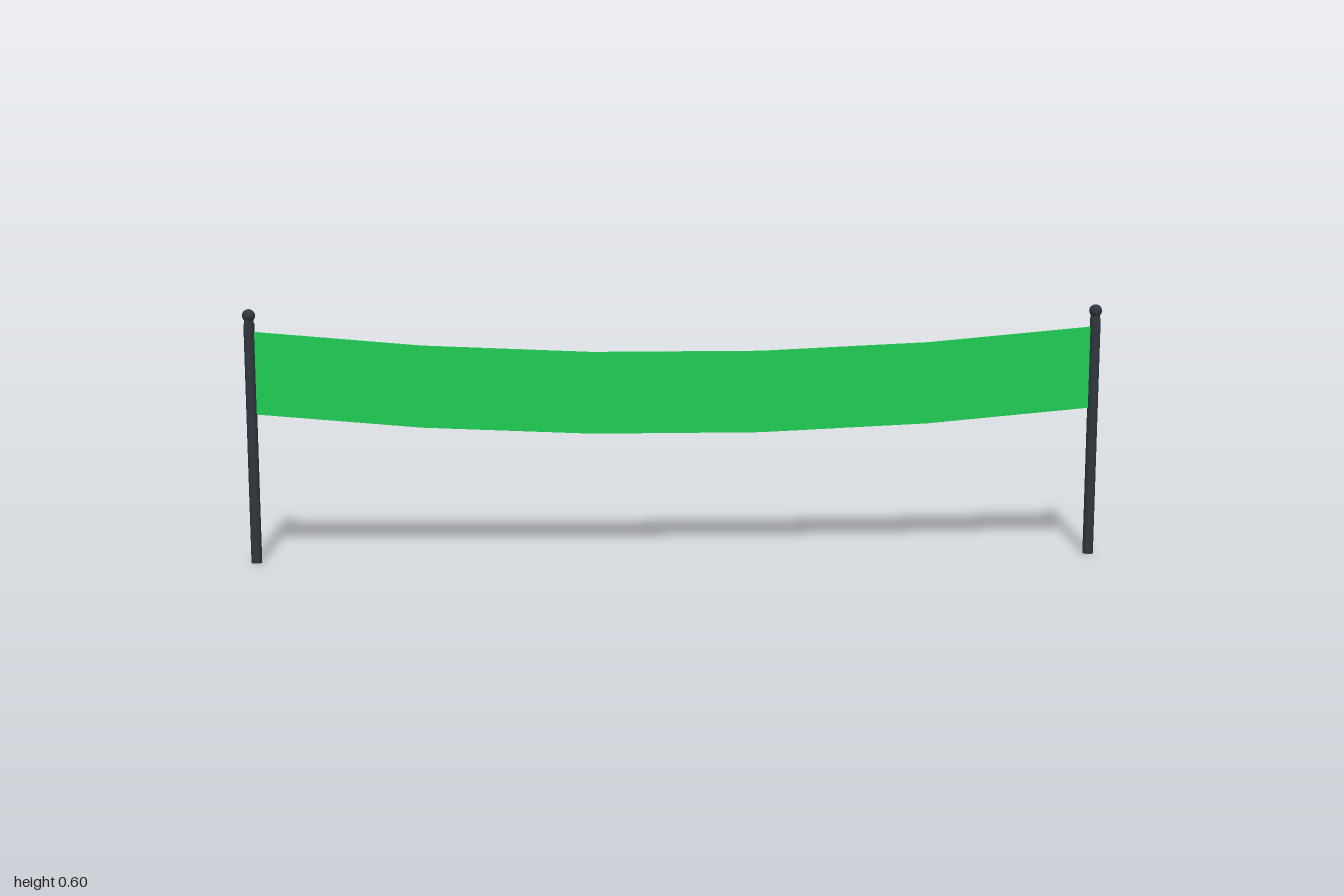
import * as THREE from 'three';

const POST_X = 0.985;

// Post: straight shaft, short narrower neck, ball on top
function makePost(name, x, material) {
  const post = new THREE.Group();
  post.name = name;
  const add = (part, geometry, y) => {
    const mesh = new THREE.Mesh(geometry, material);
    mesh.name = part;
    mesh.position.y = y;
    post.add(mesh);
  };
  add('shaft', new THREE.CylinderGeometry(0.0125, 0.0125, 0.564, 16), 0.282);
  add('neck', new THREE.CylinderGeometry(0.011, 0.011, 0.014, 16), 0.57);
  add('ball', new THREE.SphereGeometry(0.015, 16, 12), 0.582);
  post.position.x = x;
  return post;
}

// Banner: thin strip in five straight segments, sagging along a parabola
function makeBanner(material) {
  const geometry = new THREE.BoxGeometry(2 * POST_X, 0.192, 0.007, 5, 1, 1);
  const pos = geometry.attributes.position;
  for (let i = 0; i < pos.count; i++) {
    const t = pos.getX(i) / POST_X;
    pos.setY(i, pos.getY(i) + 0.394 + 0.055 * t * t);
  }
  geometry.computeVertexNormals();
  const banner = new THREE.Mesh(geometry, material);
  banner.name = 'banner';
  return banner;
}

export function createModel() {
  const model = new THREE.Group();
  model.name = 'bannerBetweenPosts';
  const dark = new THREE.MeshStandardMaterial({ color: 0x2f383e });
  const green = new THREE.MeshStandardMaterial({ color: 0x20cc55, flatShading: true });
  model.add(
    makePost('leftPost', POST_X, dark),
    makePost('rightPost', -POST_X, dark),
    makeBanner(green)
  );
  return model;
}
